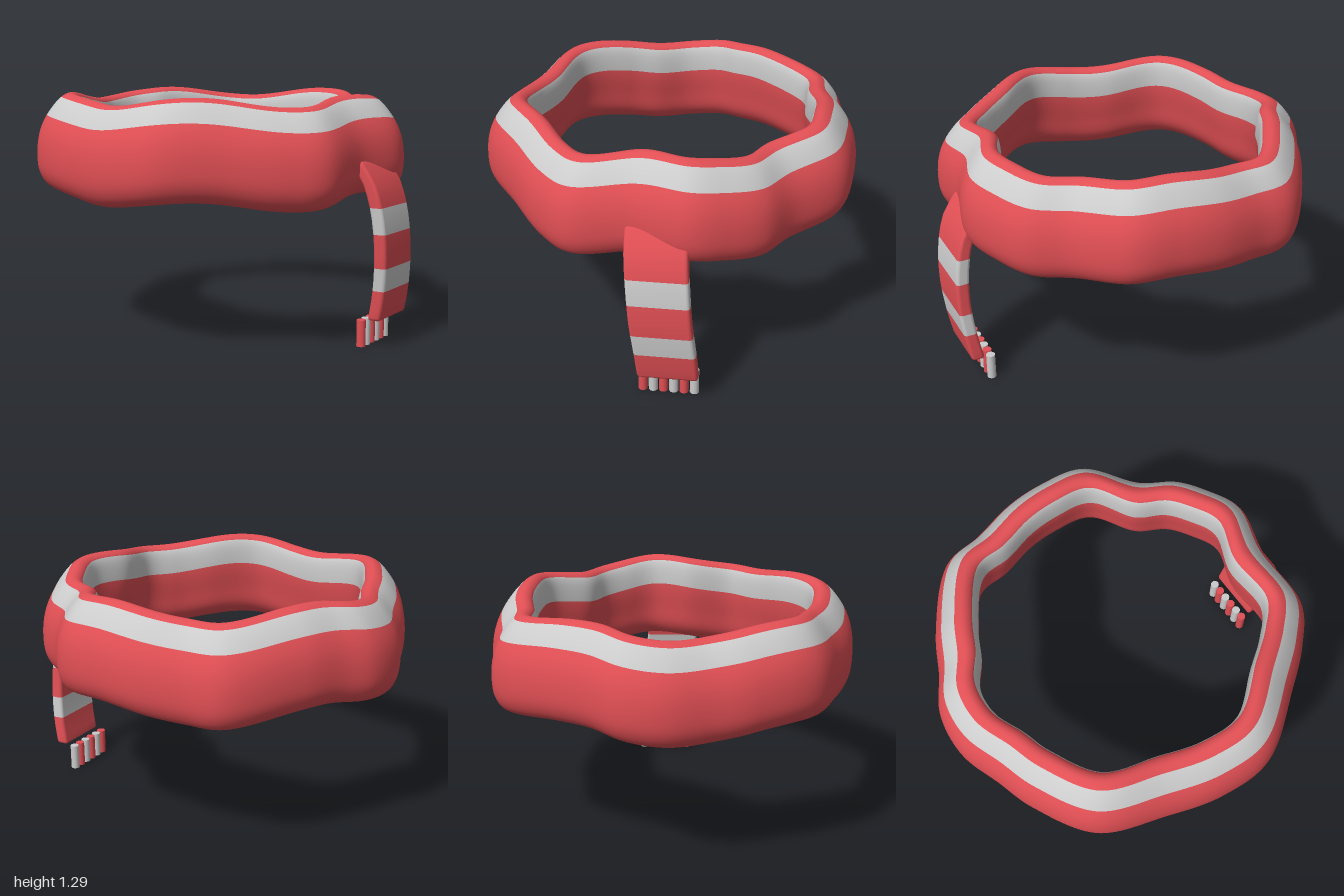
import * as THREE from 'three';

const red = new THREE.MeshStandardMaterial({ color: 0xe04f54 });
const grey = new THREE.MeshStandardMaterial({ color: 0xcccccc });

// Smooth skin over a grid that wraps in i (and in j if closed), split into red and grey meshes
function stripedSkin(name, ni, nj, closed, point, isGrey) {
  const pos = [], all = [], reds = [], greys = [];
  for (let j = 0; j < nj; j++) for (let i = 0; i < ni; i++) pos.push(...point(i, j));
  for (let j = 0; j < (closed ? nj : nj - 1); j++) {
    for (let i = 0; i < ni; i++) {
      const i2 = (i + 1) % ni, j2 = (j + 1) % nj;
      const a = j * ni + i, b = j * ni + i2, c = j2 * ni + i2, d = j2 * ni + i;
      all.push(a, b, c, a, c, d);
      (isGrey(j) ? greys : reds).push(a, b, c, a, c, d);
    }
  }
  const base = new THREE.BufferGeometry();
  base.setAttribute('position', new THREE.Float32BufferAttribute(pos, 3));
  base.setIndex(all);
  base.computeVertexNormals();
  const group = new THREE.Group();
  group.name = name;
  for (const [index, mat, label] of [[reds, red, 'Cloth'], [greys, grey, 'Stripes']]) {
    const geo = base.clone();
    geo.setIndex(index);
    const mesh = new THREE.Mesh(geo, mat);
    mesh.name = name + label;
    group.add(mesh);
  }
  return group;
}

// Neck loop: an uneven ring carrying a leaning, leaf-shaped section
function neckLoop() {
  // degrees from the front, radius
  const ring = [[6, 0.88], [26, 0.8], [43, 0.882], [55, 0.878], [66, 0.87], [79, 0.82], [97.5, 0.905],
    [112, 0.888], [125, 0.885], [139, 0.885], [151, 0.938], [174, 0.88], [187, 0.873], [198, 0.922],
    [210, 0.92], [224, 0.875], [237, 0.885], [257.5, 0.915], [279, 0.84], [298, 0.86], [314, 0.885],
    [337, 0.825], [353, 0.852]];
  const path = new THREE.CatmullRomCurve3(ring.map(([deg, r]) => {
    const a = deg * Math.PI / 180;
    return new THREE.Vector3(Math.sin(a) * r, 0, Math.cos(a) * r);
  }), true);
  // radial offset, height; up the outside, over the rim and down the inside
  const section = [[-0.02, 0.765], [0.05, 0.785], [0.09, 0.85], [0.1, 0.95], [0.085, 1.06], [0.045, 1.15],
    [-0.035, 1.245], [-0.085, 1.265], [-0.125, 1.24], [-0.14, 1.1], [-0.115, 0.95], [-0.085, 0.83]];
  const profile = new THREE.CatmullRomCurve3(section.map(([d, y]) => new THREE.Vector3(d, y, 0)), true);
  const ni = 240, sub = 5, nj = section.length * sub;
  const centres = Array.from({ length: ni }, (_, i) => path.getPointAt(i / ni));
  const offsets = Array.from({ length: nj }, (_, j) => profile.getPoint(j / nj));
  return stripedSkin('neckLoop', ni, nj, true, (i, j) => {
    const c = centres[i], o = offsets[j];
    const a = Math.atan2(c.x, c.z), r = Math.hypot(c.x, c.z) + o.x;
    return [Math.sin(a) * r, o.y - 0.025 * Math.cos(5 * a), Math.cos(a) * r];
  }, j => [5, 8].includes(Math.floor(j / sub)));
}

// Directions across the tail and out of its face
const across = new THREE.Vector3(0.86, 0, -0.51), out = new THREE.Vector3(0.51, 0, 0.86);

// Hanging tail: a rounded strap following a gentle bow
function tail() {
  const bow = new THREE.CatmullRomCurve3([[0.575, 0.145, 0.765], [0.58, 0.3, 0.795], [0.57, 0.5, 0.82],
    [0.55, 0.7, 0.815], [0.52, 0.85, 0.785], [0.478, 0.97, 0.72]].map(p => new THREE.Vector3(...p)));
  const samples = bow.getPoints(200);
  const at = y => samples.find(p => p.y >= y - 1e-6) ?? samples[200];
  // height, inset at the closed ends
  const rows = [[0.145, 0.035], [0.145, 0.012], [0.149, 0.004], [0.16, 0]];
  for (const y of [0.2, 0.25, 0.305, 0.365, 0.425, 0.48, 0.54, 0.6, 0.67, 0.735, 0.79, 0.85, 0.91, 0.95]) rows.push([y, 0]);
  rows.push([0.963, 0.004], [0.968, 0.012], [0.968, 0.035]);
  const hw = 0.155, ht = 0.035, round = 0.018, steps = 5;
  const corners = [[1, 1], [1, -1], [-1, -1], [-1, 1]];
  return stripedSkin('tail', 4 * steps, rows.length, false, (i, j) => {
    const [y, inset] = rows[j], k = Math.floor(i / steps), [sx, sz] = corners[k];
    const a = (k + (i % steps) / (steps - 1)) * Math.PI / 2;
    const rr = Math.max(round - inset, 0);
    const u = sx * (hw - Math.max(round, inset)) + Math.sin(a) * rr;
    const v = sz * (ht - Math.max(round, inset)) + Math.cos(a) * rr;
    const c = at(y).clone().addScaledVector(across, u).addScaledVector(out, v);
    return [c.x, y, c.z];
  }, j => (rows[j][0] >= 0.305 && rows[j][0] < 0.425) || (rows[j][0] >= 0.6 && rows[j][0] < 0.735));
}

// Fringe: six short strands in alternating colours
function fringe() {
  const group = new THREE.Group();
  group.name = 'fringe';
  const geo = new THREE.CylinderGeometry(0.024, 0.024, 0.14, 16);
  for (let i = 0; i < 6; i++) {
    const strand = new THREE.Mesh(geo, i % 2 ? grey : red);
    strand.name = 'strand' + (i + 1);
    strand.position.set(0.532, 0.07, 0.706).addScaledVector(across, (i - 2.5) * 0.053);
    group.add(strand);
  }
  return group;
}

export function createModel() {
  const scarf = new THREE.Group();
  scarf.name = 'scarf';
  scarf.add(neckLoop(), tail(), fringe());
  return scarf;
}
